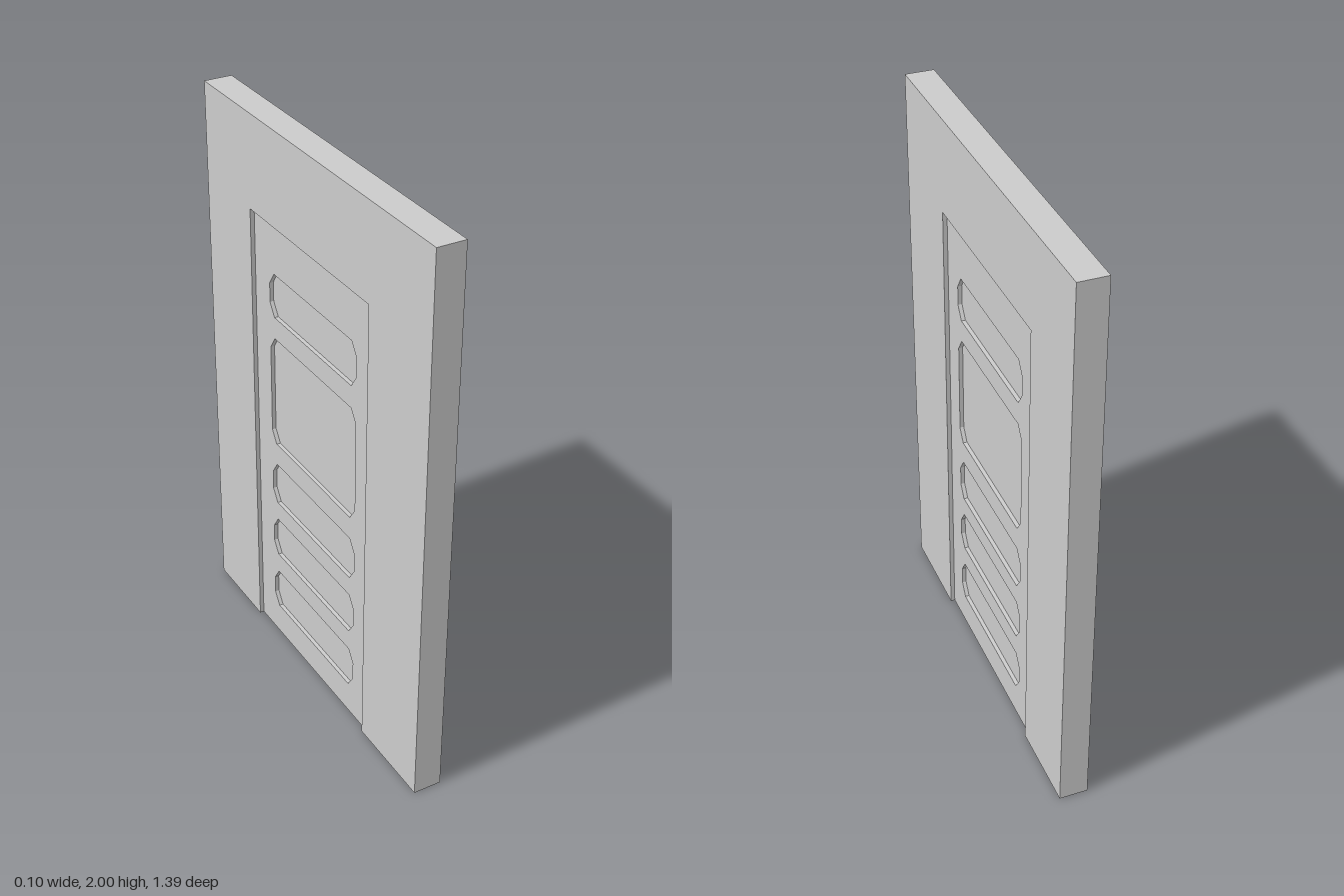
import * as THREE from 'three';

const material = new THREE.MeshStandardMaterial({ color: 0xcccccc, flatShading: true });

const WALL = { half: 0.695, height: 2, depth: 0.1 };
const DOOR = { left: -0.355, right: 0.39, top: 1.668, depth: 0.07 };
const CORE_DEPTH = 0.042;
const PANEL = { left: -0.265, right: 0.292, cutX: 0.03, cutY: 0.045 };
// bottom and top of each sunken panel
const PANEL_ROWS = [[0.118, 0.275], [0.353, 0.508], [0.58, 0.742], [0.826, 1.244], [1.324, 1.484]];

const points = (list) => list.map(([x, y]) => new THREE.Vector2(x, y));

// Extrudes an outline evenly to both sides of its plane
function slab(name, shape, depth) {
  const geometry = new THREE.ExtrudeGeometry(shape, { depth, bevelEnabled: false });
  geometry.translate(0, 0, -depth / 2);
  const mesh = new THREE.Mesh(geometry, material);
  mesh.name = name;
  return mesh;
}

// Rectangle with its four corners cut off
function panelOutline([bottom, top]) {
  const { left, right, cutX, cutY } = PANEL;
  return new THREE.Path(points([
    [left + cutX, bottom], [left, bottom + cutY], [left, top - cutY], [left + cutX, top],
    [right - cutX, top], [right, top - cutY], [right, bottom + cutY], [right - cutX, bottom],
    [left + cutX, bottom],
  ]));
}

export function createModel() {
  const model = new THREE.Group();
  model.name = 'wallWithDoor';

  // Wall with a doorway open at the floor
  const { half, height } = WALL;
  const wall = new THREE.Shape(points([
    [-half, 0], [DOOR.left, 0], [DOOR.left, DOOR.top], [DOOR.right, DOOR.top],
    [DOOR.right, 0], [half, 0], [half, height], [-half, height],
  ]));
  model.add(slab('wall', wall, WALL.depth));

  // Door frame, set back from both wall faces, with panel openings
  const frame = new THREE.Shape(points([
    [DOOR.left, 0], [DOOR.right, 0], [DOOR.right, DOOR.top], [DOOR.left, DOOR.top],
  ]));
  frame.holes = PANEL_ROWS.map(panelOutline);
  model.add(slab('doorFrame', frame, DOOR.depth));

  // Thin core that closes the openings as sunken panels
  const core = new THREE.Shape(points([
    [PANEL.left - 0.03, 0.08], [PANEL.right + 0.03, 0.08], [PANEL.right + 0.03, 1.52], [PANEL.left - 0.03, 1.52],
  ]));
  model.add(slab('doorPanels', core, CORE_DEPTH));

  // Turn the wall so its faces look along x
  model.rotation.y = Math.PI / 2;
  const root = new THREE.Group();
  root.name = 'model';
  root.add(model);
  return root;
}
